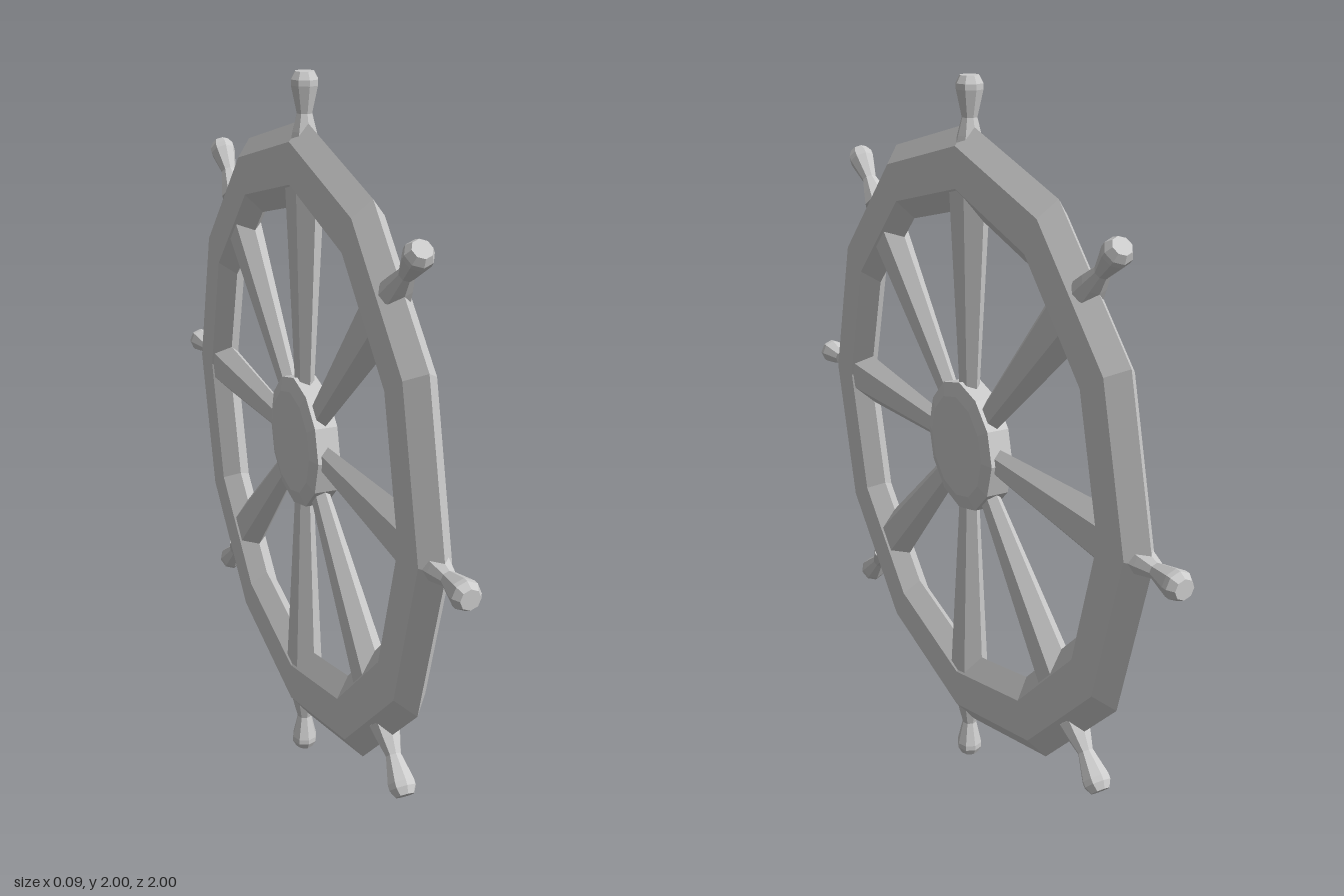
import * as THREE from 'three';

const material = new THREE.MeshStandardMaterial({ color: 0xcccccc, flatShading: true });

function part(name, geometry) {
  const mesh = new THREE.Mesh(geometry, material);
  mesh.name = name;
  return mesh;
}

// Lathe around y from [radius, y] pairs listed bottom to top
function lathe(pairs, sides) {
  return new THREE.LatheGeometry(pairs.map(([r, y]) => new THREE.Vector2(r, y)), sides);
}

export function createModel() {
  const model = new THREE.Group();
  model.name = 'shipWheel';

  const wheel = new THREE.Group();
  wheel.name = 'wheel';
  wheel.position.y = 1;
  model.add(wheel);

  // Twelve-sided rim with a flattened hexagonal section
  const rim = new THREE.TorusGeometry(0.77, 0.11, 6, 12);
  rim.scale(1, 1, 0.45);
  rim.rotateY(Math.PI / 2);
  wheel.add(part('rim', rim));

  // Bevelled hub, axis along x
  const hub = lathe([[0, -0.043], [0.145, -0.043], [0.185, -0.032],
    [0.185, 0.032], [0.145, 0.043], [0, 0.043]], 12);
  hub.rotateZ(Math.PI / 2);
  wheel.add(part('hub', hub));

  // Flattened spoke, widening towards the rim
  const inner = 0.1, outer = 0.74;
  const spoke = new THREE.CylinderGeometry(0.083, 0.037, outer - inner, 6);
  spoke.scale(0.56, 1, 1);
  spoke.translate(0, (inner + outer) / 2, 0);

  // Turned handle with a narrow neck and faceted knob
  const handle = lathe([[0, 0.8], [0.042, 0.81], [0.033, 0.85], [0.021, 0.895],
    [0.037, 0.965], [0.037, 0.98], [0.026, 1], [0, 1]], 8);

  for (let i = 0; i < 8; i++) {
    const arm = new THREE.Group();
    arm.name = 'arm' + (i + 1);
    arm.rotation.x = (i * Math.PI) / 4;
    arm.add(part('spoke', spoke), part('handle', handle));
    wheel.add(arm);
  }
  return model;
}
